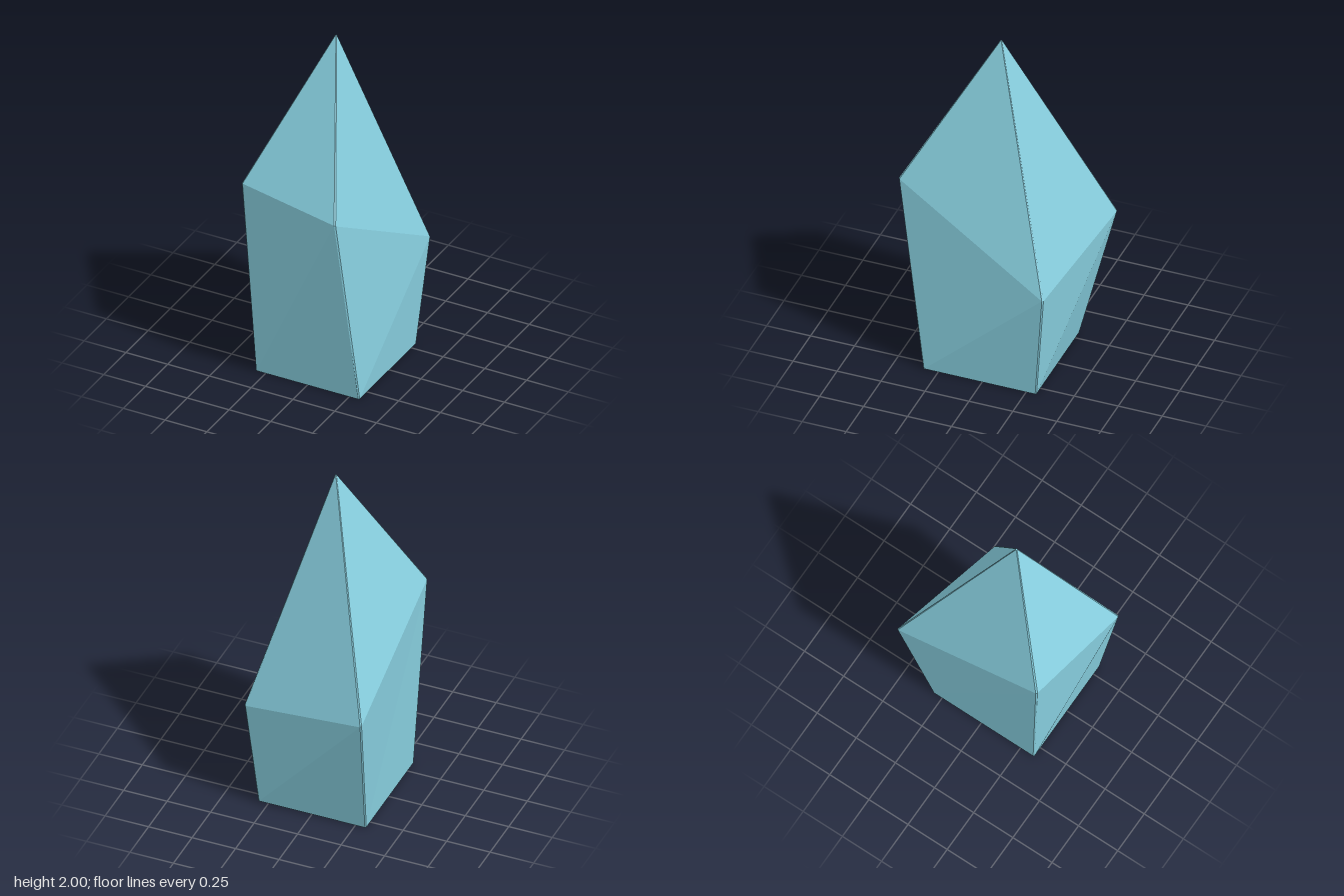
import * as THREE from 'three';

// Splits each corner of a ring in two, giving the upright edges a narrow bevel.
function bevelRing(corners, width) {
  const pts = corners.map((c) => new THREE.Vector3(...c));
  const toward = (p, q) => p.clone().add(q.clone().sub(p).setLength(width));
  return pts.flatMap((p, i) => [
    toward(p, pts[(i + 3) % 4]),
    toward(p, pts[(i + 1) % 4]),
  ]);
}

// Joins stacked rings with flat faces and closes both ends.
function loft(rings) {
  const pos = [];
  const tri = (...pts) => pts.forEach((p) => pos.push(p.x, p.y, p.z));
  const n = rings[0].length;
  for (let r = 0; r < rings.length - 1; r++) {
    const a = rings[r], b = rings[r + 1];
    for (let i = 0; i < n; i++) {
      const j = (i + 1) % n;
      tri(a[i], a[j], b[j]);
      tri(a[i], b[j], b[i]);
    }
  }
  const bottom = rings[0], top = rings[rings.length - 1];
  for (let i = 1; i < n - 1; i++) {
    tri(bottom[0], bottom[i + 1], bottom[i]);
    tri(top[0], top[i], top[i + 1]);
  }
  const geo = new THREE.BufferGeometry();
  geo.setAttribute('position', new THREE.Float32BufferAttribute(pos, 3));
  geo.computeVertexNormals();
  return geo;
}

export function createModel() {
  const group = new THREE.Group();
  group.name = 'crystalShard';

  // Corner order: left front, left back, right back, right front.
  const base = [[0.31, 0, 0.337], [0.31, 0, -0.307], [-0.31, 0, -0.307], [-0.31, 0, 0.337]];
  const shoulder = [[0.252, 1.15, 0.5], [0.364, 0.645, -0.366], [-0.366, 0.8, -0.502], [-0.366, 1.18, 0.392]];
  const t = 0.005;
  const tip = [[t, 2, 0.015 + t], [t, 2, 0.015 - t], [-t, 2, 0.015 - t], [-t, 2, 0.015 + t]];

  const crystal = new THREE.Mesh(
    loft([bevelRing(base, 0.006), bevelRing(shoulder, 0.007), bevelRing(tip, 0.003)]),
    new THREE.MeshStandardMaterial({ color: 0x88d0e0, flatShading: true })
  );
  crystal.name = 'crystal';
  group.add(crystal);
  return group;
}
